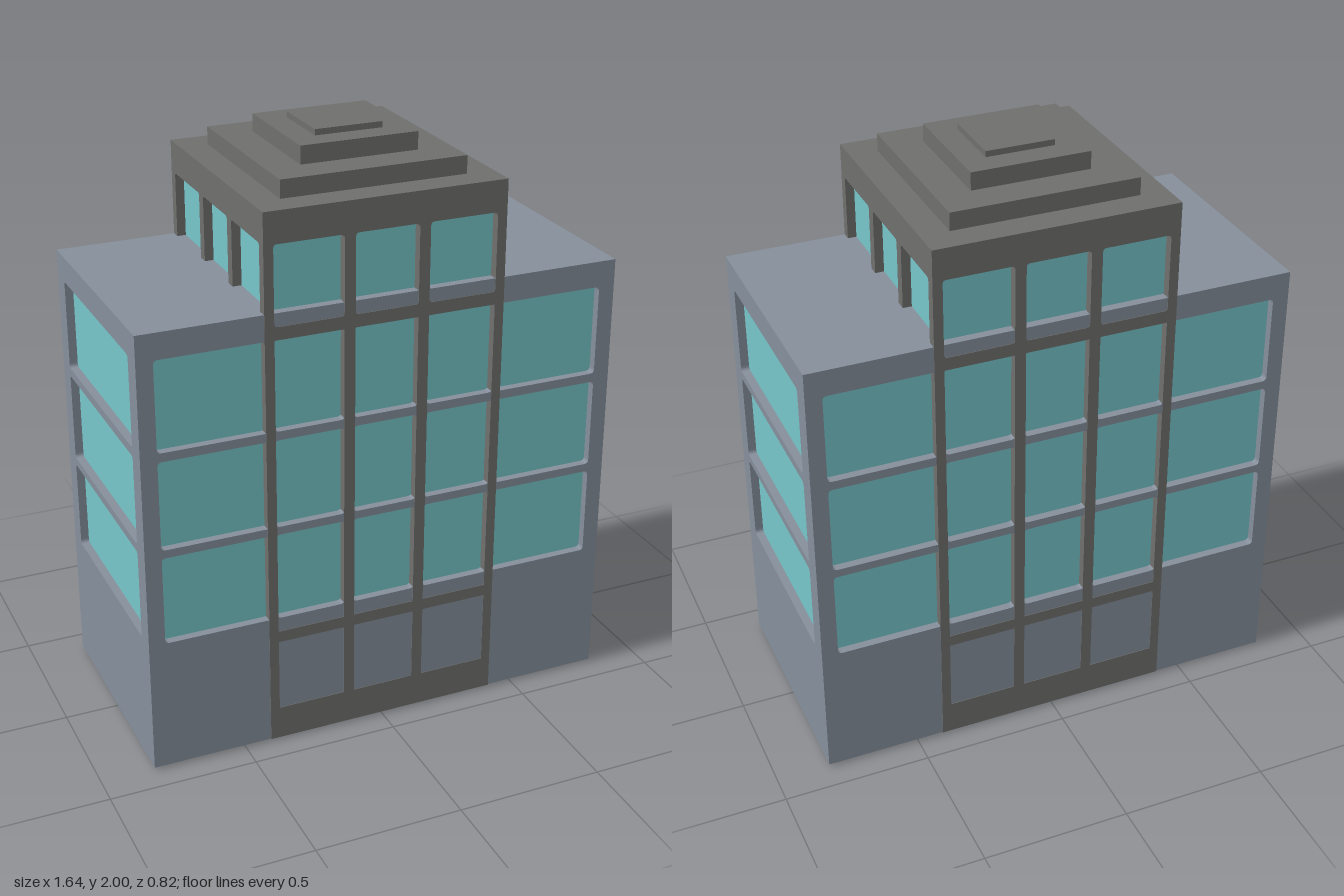
import * as THREE from 'three';

const mat = (name, color) => {
  const m = new THREE.MeshStandardMaterial({ color });
  m.name = name;
  return m;
};

// Closed rectangle from x0..x1, y0..y1 with slightly rounded corners
function rect(PathType, [x0, x1], [y0, y1], r = 0) {
  const p = new PathType();
  if (!r) {
    return p.moveTo(x0, y0).lineTo(x1, y0).lineTo(x1, y1).lineTo(x0, y1).closePath();
  }
  p.moveTo(x0 + r, y0).lineTo(x1 - r, y0).quadraticCurveTo(x1, y0, x1, y0 + r);
  p.lineTo(x1, y1 - r).quadraticCurveTo(x1, y1, x1 - r, y1);
  p.lineTo(x0 + r, y1).quadraticCurveTo(x0, y1, x0, y1 - r);
  p.lineTo(x0, y0 + r).quadraticCurveTo(x0, y0, x0 + r, y0);
  return p;
}

// Wall slab with openings; its outer face is at z = front
function wall(xs, ys, openings, back, front) {
  const shape = rect(THREE.Shape, xs, ys);
  for (const [ox, oy, r] of openings) shape.holes.push(rect(THREE.Path, ox, oy, r));
  const g = new THREE.ExtrudeGeometry(shape, { depth: front - back, bevelEnabled: false, curveSegments: 4 });
  return g.translate(0, 0, back);
}

export function createModel() {
  const group = new THREE.Group();
  const stone = mat('blueGreyWall', 0x868f9c);
  const frame = mat('darkGreyFrame', 0x6f6f6e);
  const glass = mat('tealGlass', 0x76c6ca);
  const plate = mat('beigeBase', 0xcabbb2);

  const add = (name, geometry, material, turn = 0) => {
    const mesh = new THREE.Mesh(geometry, material);
    mesh.name = name;
    mesh.rotation.y = turn;
    group.add(mesh);
  };
  const block = (name, w, y0, y1, d, material) =>
    add(name, new THREE.BoxGeometry(w, y1 - y0, d).translate(0, (y0 + y1) / 2, 0), material);

  const columns = [[-0.378, -0.145], [-0.108, 0.108], [0.145, 0.378]];
  const floors = [[0.47, 0.777], [0.805, 1.11], [1.14, 1.447]];

  // Glass volumes set back behind the walls
  block('mainGlass', 1.584, 0.44, 1.46, 0.764, glass);
  block('towerGlass', 0.76, 1.5, 1.77, 0.76, glass);

  // Wide front and back walls with five windows on each floor
  const wideHoles = [];
  const sideHoles = [];
  for (const f of floors) {
    wideHoles.push([[-0.765, -0.4], f, 0.015], [[0.4, 0.765], f, 0.015]);
    for (const [a, b] of columns) wideHoles.push([[a - 0.003, b + 0.003], f, 0.015]);
    sideHoles.push([[-0.337, 0.337], f, 0.015]);
  }
  const wideWall = wall([-0.82, 0.82], [0.01, 1.535], wideHoles, 0.38, 0.41);

  // Dark grid laid over the middle of the front and back
  const gridHoles = [];
  for (const c of columns) {
    gridHoles.push([c, [0.125, 0.38]], [c, [0.42, 1.447]], [c, [1.49, 1.755], 0.012]);
  }
  const grid = wall([-0.41, 0.41], [0.01, 1.86], gridHoles, 0.379, 0.412);
  for (const [side, turn] of [['front', 0], ['back', Math.PI]]) {
    add(side + 'Wall', wideWall, stone, turn);
    add(side + 'Grid', grid, frame, turn);
  }

  // Side walls and the tower frame above them
  const sideWall = wall([-0.41, 0.41], [0.01, 1.535], sideHoles, 0.79, 0.82);
  const towerHoles = columns.map((c) => [c, [1.49, 1.755], 0.012]);
  const towerSide = wall([-0.41, 0.41], [1.48, 1.86], towerHoles, 0.379, 0.41);
  for (const [side, turn] of [['left', Math.PI / 2], ['right', -Math.PI / 2]]) {
    add(side + 'Wall', sideWall, stone, turn);
    add(side + 'TowerFrame', towerSide, frame, turn);
  }

  // Roof, underside and base plates
  block('mainRoof', 1.61, 1.475, 1.535, 0.8, stone);
  block('underside', 1.61, 0.01, 0.05, 0.8, stone);
  block('undersideStrip', 0.82, 0.007, 0.012, 0.82, frame);
  block('basePlate', 0.58, 0, 0.01, 0.58, plate);

  // Tower cap and stepped roof
  block('towerCap', 0.8, 1.76, 1.86, 0.8, frame);
  const steps = [[0.63, 1.85, 1.92], [0.4, 1.91, 1.98], [0.232, 1.97, 2]];
  steps.forEach(([w, y0, y1], i) => block('roofStep' + (i + 1), w, y0, y1, w, frame));

  return group;
}
